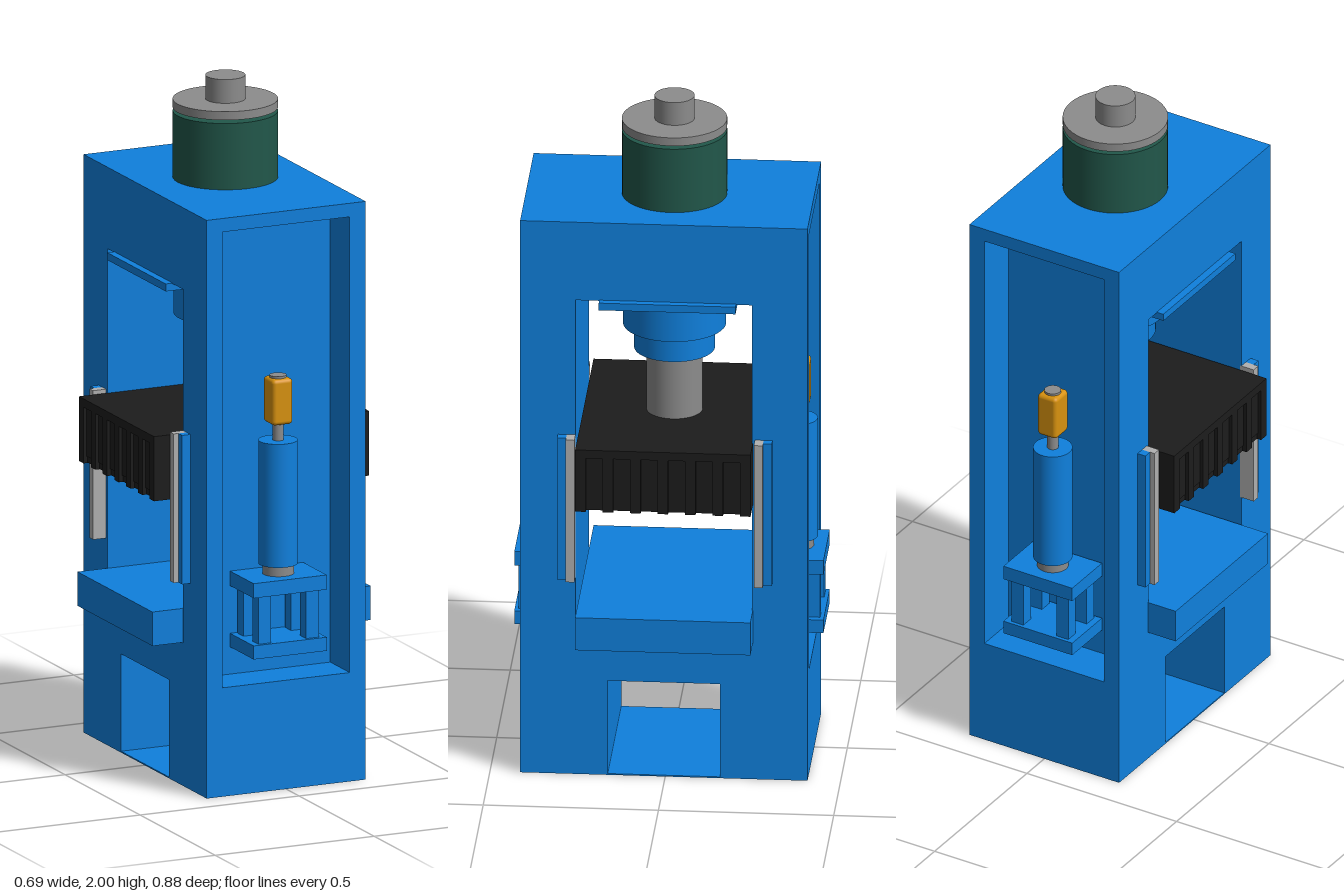
import * as THREE from 'three';
import { RoundedBoxGeometry } from 'three/addons/geometries/RoundedBoxGeometry.js';

const mat = (color) => new THREE.MeshStandardMaterial({ color });

export function createModel() {
  const model = new THREE.Group();
  const blue = mat(0x0f80dd), grey = mat(0x8c8c8c), rail = mat(0xb0b0b0);
  const black = mat(0x1c1c1c), green = mat(0x21574a), orange = mat(0xd8920f);

  const add = (parent, name, geometry, material) => {
    const mesh = new THREE.Mesh(geometry, material);
    mesh.name = name;
    parent.add(mesh);
    return mesh;
  };
  // Box given by its extents on each axis
  const box = (parent, name, material, [x0, x1], [y0, y1], [z0, z1]) => {
    const m = add(parent, name, new THREE.BoxGeometry(x1 - x0, y1 - y0, z1 - z0), material);
    m.position.set((x0 + x1) / 2, (y0 + y1) / 2, (z0 + z1) / 2);
    return m;
  };
  // Upright cylinder from y0 to y1
  const cyl = (parent, name, material, r, y0, y1, x = 0, z = 0) => {
    const m = add(parent, name, new THREE.CylinderGeometry(r, r, y1 - y0, 48), material);
    m.position.set(x, (y0 + y1) / 2, z);
    return m;
  };
  const rect = (P, a0, a1, y0, y1) => {
    const p = new P();
    p.moveTo(a0, y0);
    p.lineTo(a1, y0);
    p.lineTo(a1, y1);
    p.lineTo(a0, y1);
    p.closePath();
    return p;
  };
  const extrude = (shape, depth) => new THREE.ExtrudeGeometry(shape, { depth, bevelEnabled: false });

  // Frame: core with the work window and the lower opening
  const frame = new THREE.Group();
  frame.name = 'frame';
  frame.position.z = 0.004;
  model.add(frame);
  const side = rect(THREE.Shape, -0.28, 0.28, 0, 1.7);
  side.holes.push(rect(THREE.Path, -0.252, 0.252, 0.42, 1.46));
  side.holes.push(rect(THREE.Path, -0.16, 0.16, 0.004, 0.29));
  const core = extrude(side, 0.5);
  core.rotateY(-Math.PI / 2);
  core.translate(0.25, 0, 0);
  add(frame, 'frameCore', core, blue);

  // Recessed front and back of the frame
  const end = rect(THREE.Shape, -0.25, 0.25, 0, 1.7);
  end.holes.push(rect(THREE.Path, -0.2, 0.2, 0.32, 1.66));
  for (const s of [1, -1]) {
    const m = add(frame, s > 0 ? 'frontRecess' : 'backRecess', extrude(end, 0.13), blue);
    m.position.z = s > 0 ? 0.28 : -0.41;
  }

  // Table
  box(model, 'table', blue, [-0.343, 0.343], [0.42, 0.52], [-0.25, 0.25]);

  // Motor and shaft on top
  const cx = 0.008, cz = -0.008;
  cyl(model, 'motor', green, 0.15, 1.7, 1.895, cx, cz);
  cyl(model, 'motorDisc', grey, 0.15, 1.905, 1.93, cx, cz);
  cyl(model, 'motorShaft', grey, 0.057, 1.89, 2, cx, cz);

  // Press head and ram
  box(model, 'headPlate', blue, [-0.272, 0.272], [1.44, 1.462], [-0.202, 0.188]);
  cyl(model, 'headFlange', blue, 0.164, 1.405, 1.44, cx, cz);
  cyl(model, 'headUpper', blue, 0.147, 1.3, 1.405, cx, cz);
  cyl(model, 'headLower', blue, 0.115, 1.225, 1.3, cx, cz);
  cyl(model, 'ram', grey, 0.08, 1.03, 1.225, cx, cz);

  // Moving platen, ribbed on its sides and underside
  const platen = new THREE.Group();
  platen.name = 'platen';
  model.add(platen);
  box(platen, 'platenTop', black, [-0.338, 0.338], [1.01, 1.035], [-0.25, 0.25]);
  box(platen, 'platenCore', black, [-0.328, 0.328], [0.865, 1.01], [-0.245, 0.245]);
  for (let i = 0; i < 7; i++) {
    const z = -0.235 + i * 0.47 / 6;
    box(platen, 'platenCrossRib', black, [-0.338, 0.338], [0.845, 1.012], [z - 0.015, z + 0.015]);
  }
  for (let i = 0; i < 6; i++) {
    const x = -0.31 + i * 0.124;
    box(platen, 'platenLongRib', black, [x - 0.015, x + 0.015], [0.846, 0.87], [-0.249, 0.249]);
  }

  // Guide rails at the four window edges
  for (const sx of [1, -1]) for (const sz of [1, -1]) {
    const span = (s, a, b) => (s > 0 ? [a, b] : [-b, -a]);
    box(model, 'guideRail', rail, span(sx, 0.245, 0.291), [0.607, 1.045], span(sz, 0.256, 0.281));
    box(model, 'guideBacking', blue, span(sx, 0.245, 0.276), [0.607, 1.045], span(sz, 0.281, 0.306));
  }

  // Cylinder on a bracket, in the front and back recesses
  for (const s of [1, -1]) {
    const unit = new THREE.Group();
    unit.name = s > 0 ? 'frontCylinder' : 'backCylinder';
    unit.rotation.y = s > 0 ? 0 : Math.PI;
    model.add(unit);
    box(unit, 'bracketBase', blue, [-0.115, 0.115], [0.4, 0.44], [0.28, 0.441]);
    box(unit, 'bracketTop', blue, [-0.115, 0.115], [0.58, 0.623], [0.28, 0.441]);
    for (const x of [-0.075, 0.075]) for (const z of [0.31, 0.41])
      box(unit, 'bracketPost', blue, [x - 0.02, x + 0.02], [0.44, 0.58], [z - 0.02, z + 0.02]);
    cyl(unit, 'collar', grey, 0.045, 0.623, 0.652, 0, 0.36);
    cyl(unit, 'barrel', blue, 0.056, 0.652, 1.015, 0, 0.36);
    cyl(unit, 'rod', grey, 0.016, 1.015, 1.07, 0, 0.36);
    const fork = add(unit, 'rodEnd', new RoundedBoxGeometry(0.065, 0.135, 0.07, 3, 0.012), orange);
    fork.position.set(0, 1.132, 0.36);
    cyl(unit, 'rodTip', grey, 0.024, 1.18, 1.206, 0, 0.36);
  }
  return model;
}
